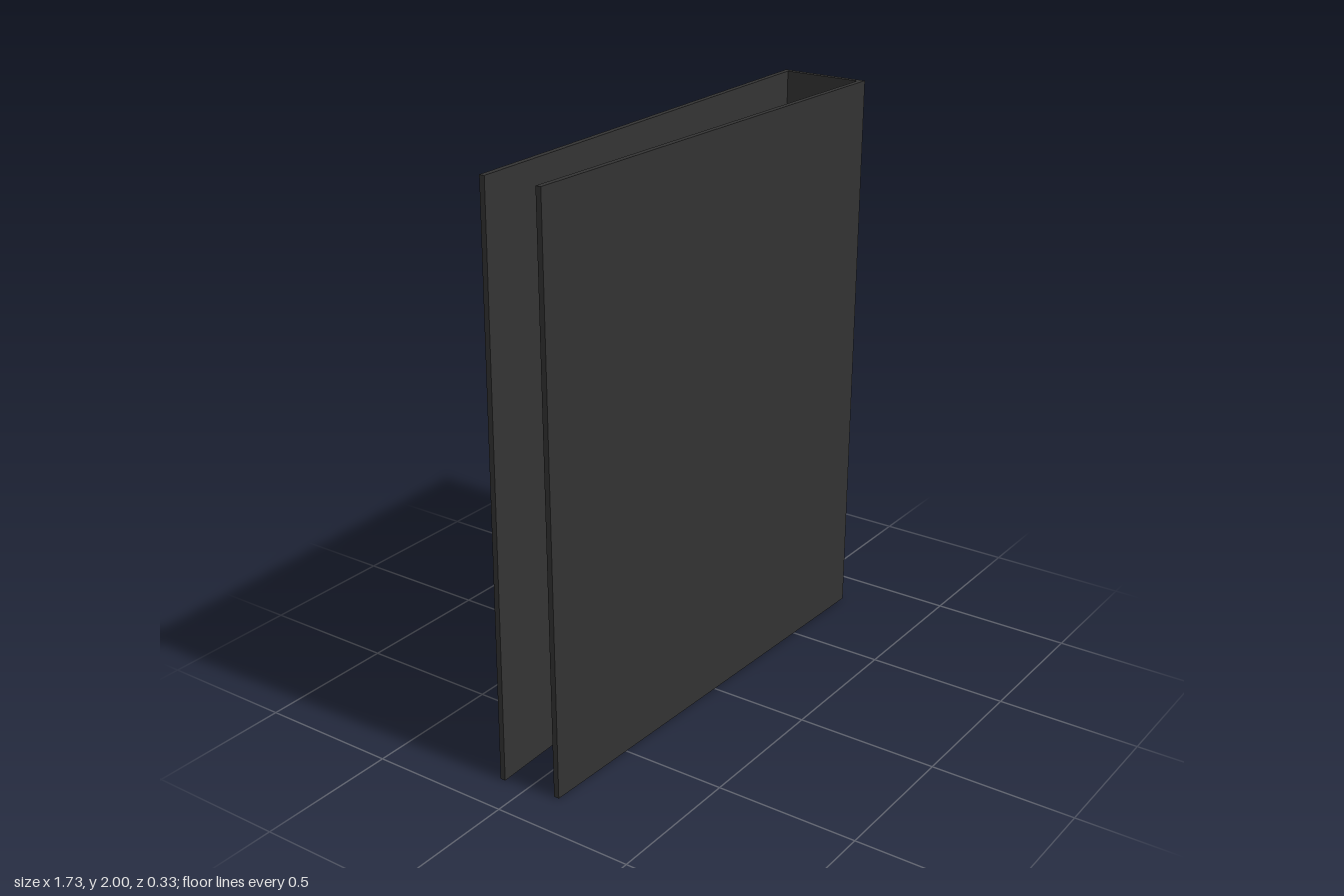
import * as THREE from 'three';

const dark = new THREE.MeshStandardMaterial({ color: 0x333333 });
const metal = new THREE.MeshStandardMaterial({ color: 0xcccccc });
const THICK = 0.019;
const RING_HEIGHTS = [0.755, 1.305];

function polygon(points) {
  return points.map(([x, y]) => new THREE.Vector2(x, y));
}

// Move every vertex of a geometry by a rule
function reshape(geometry, rule) {
  const p = geometry.attributes.position;
  const v = new THREE.Vector3();
  for (let i = 0; i < p.count; i++) {
    rule(v.fromBufferAttribute(p, i));
    p.setXYZ(i, v.x, v.y, v.z);
  }
  geometry.computeVertexNormals();
  return geometry;
}

function board(name, shape, rule) {
  const geometry = new THREE.ExtrudeGeometry(shape, { depth: THICK, bevelEnabled: false, curveSegments: 10 });
  const mesh = new THREE.Mesh(reshape(geometry, rule), dark);
  mesh.name = name;
  return mesh;
}

// Bent wire: each row of a cylinder is moved to one mitred corner of the path
function wire(path, radius) {
  const points = path.map(([x, z]) => new THREE.Vector2(x, z));
  const last = points.length - 1;
  const corners = points.map((p, i) => {
    const before = points[i].clone().sub(points[Math.max(i - 1, 0)]).normalize();
    const after = points[Math.min(i + 1, last)].clone().sub(points[i]).normalize();
    const t = before.clone().add(after).normalize();
    const stretch = 1 / t.dot(i < last ? after : before);
    return { p, nx: -t.y * stretch, nz: t.x * stretch };
  });
  return reshape(new THREE.CylinderGeometry(radius, radius, 1, 10, last), (v) => {
    const { p, nx, nz } = corners[Math.round((v.y + 0.5) * last)];
    v.set(p.x + nx * v.x, v.z, p.y + nz * v.x);
  });
}

export function createModel() {
  const group = new THREE.Group();
  group.name = 'ringBinder';

  // Front cover, closing in towards its free edge
  const front = new THREE.Shape(polygon([[-0.845, 0], [0.84, 0], [0.86, 2], [-0.845, 2]]));
  group.add(board('frontCover', front, (v) => { v.z += 0.146 - 0.028 * (0.86 - v.x); }));

  // Back cover with a slot for each ring
  const back = new THREE.Shape(polygon([[-0.865, 0], [0.84, 0], [0.86, 2], [-0.845, 2]]));
  for (const y of RING_HEIGHTS) {
    back.holes.push(new THREE.Path(polygon([
      [0.52, y - 0.034], [0.52, y + 0.034], [0.785, y + 0.034], [0.785, y - 0.034],
    ])));
  }
  group.add(board('backCover', back, (v) => { v.z += -0.155 + 0.028 * (0.86 - v.x); }));

  // Leaning spine with a round finger hole
  const spine = new THREE.Shape(polygon([[-0.147, 0], [0.137, 0], [0.137, 2], [-0.147, 2]]));
  const hole = new THREE.Path();
  hole.absarc(-0.008, 0.332, 0.075, 0, Math.PI * 2, true);
  spine.holes.push(hole);
  group.add(board('spine', spine, (v) => {
    v.set(0.84 - THICK + v.z + 0.01 * v.y, v.y, -v.x);
  }));

  // Metal rings standing on the front cover and reaching through the slots
  const path = [[0.54, 0.145], [0.54, -0.092], [0.579, -0.136], [0.645, -0.153],
    [0.712, -0.136], [0.753, -0.092], [0.753, 0.148]];
  const ringGeometry = wire(path, 0.016);
  RING_HEIGHTS.forEach((y, i) => {
    const ring = new THREE.Mesh(ringGeometry, metal);
    ring.name = i ? 'upperRing' : 'lowerRing';
    ring.position.y = y;
    group.add(ring);
  });

  return group;
}
